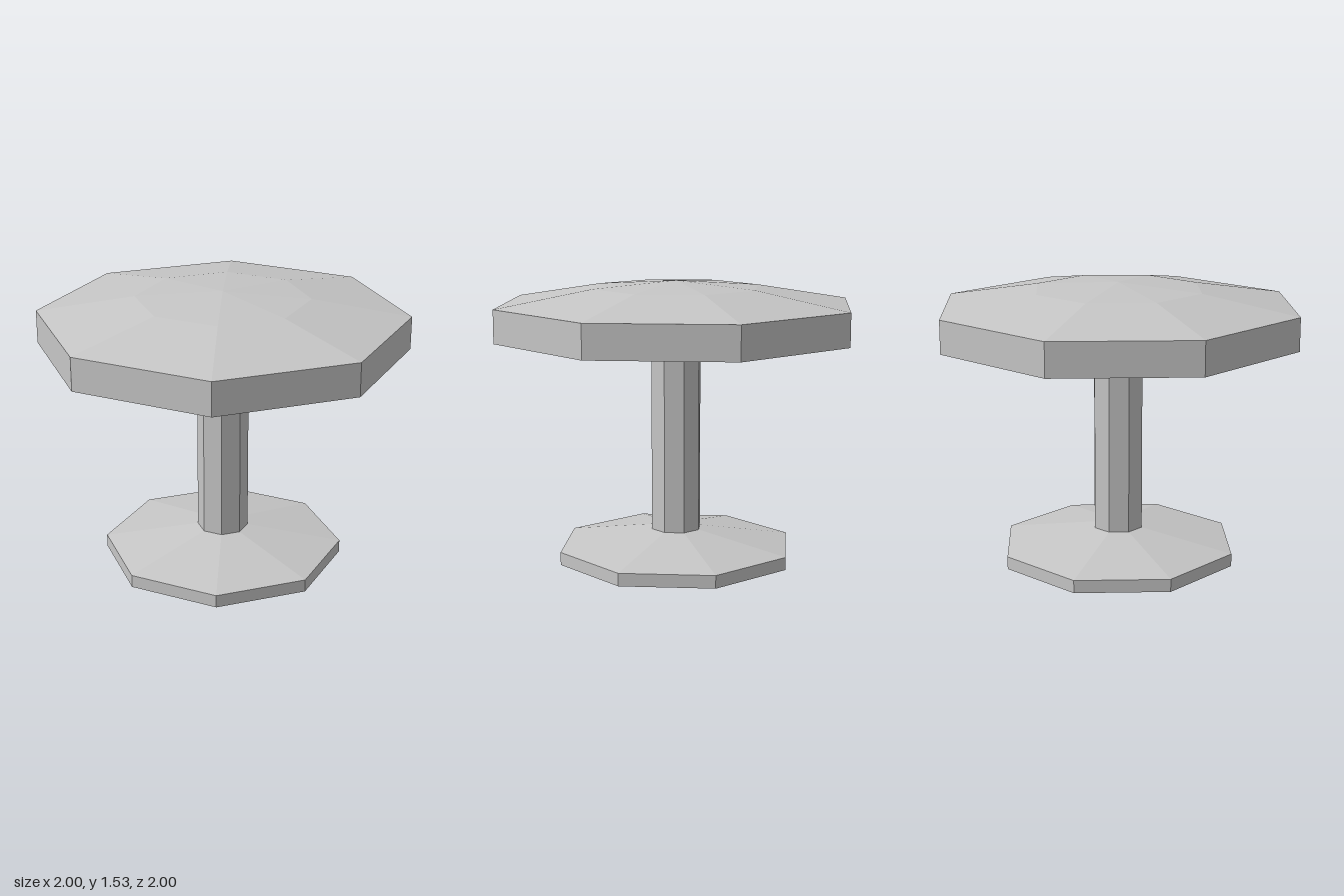
import * as THREE from 'three';

export function createModel() {
  const grey = new THREE.MeshStandardMaterial({ color: 0xc6c6c6, flatShading: true, side: THREE.DoubleSide });
  grey.name = 'light grey';
  const group = new THREE.Group();
  group.name = 'roundTable';

  // Eight-sided part turned from a [radius, height] profile, bottom to top
  function turned(name, profile) {
    const points = profile.map(([r, y]) => new THREE.Vector2(r, y));
    const mesh = new THREE.Mesh(new THREE.LatheGeometry(points, 8), grey);
    mesh.name = name;
    group.add(mesh);
  }

  // Hollow foot: rim and sloping top, open underneath
  turned('foot', [[0.66, 0], [0.66, 0.07], [0.14, 0.16]]);

  // Hollow column, open into the foot
  turned('column', [[0.14, 0.16], [0.14, 1.225]]);

  // Closed top: flat underside, upright rim, shallow faceted dome
  turned('top', [[0, 1.225], [1, 1.225], [1, 1.405], [0.47, 1.495], [0, 1.53]]);

  return group;
}
